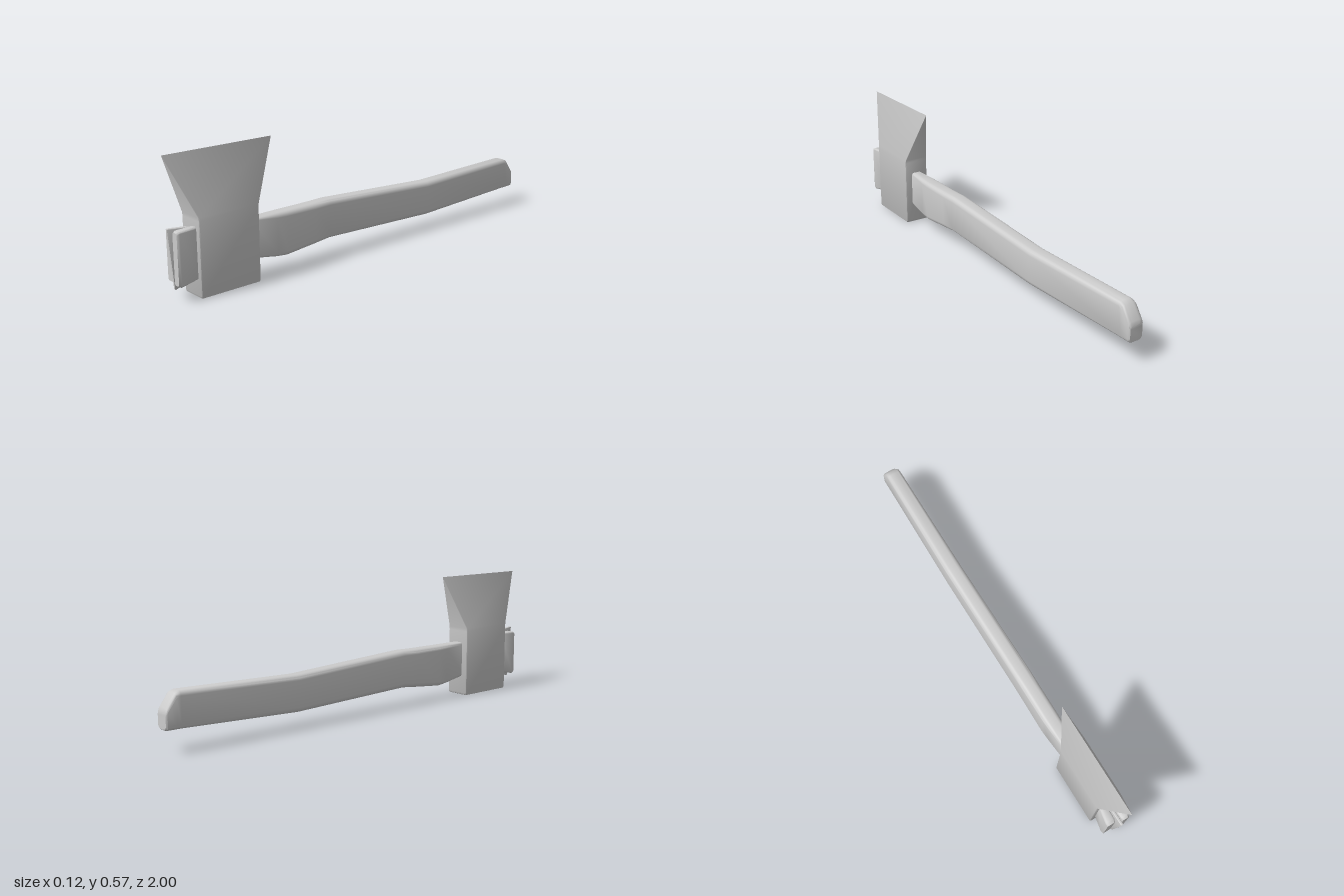
import * as THREE from 'three';
import { toCreasedNormals } from 'three/addons/utils/BufferGeometryUtils.js';

const material = new THREE.MeshStandardMaterial({ color: 0xcccccc });

// Rounded rectangle, counter-clockwise seen from +z
function ring([z, x0, x1, y0, y1, r], steps = 4) {
  const corners = [[x1 - r, y1 - r], [x0 + r, y1 - r], [x0 + r, y0 + r], [x1 - r, y0 + r]];
  const points = [];
  corners.forEach(([cx, cy], k) => {
    for (let i = 0; i <= steps; i++) {
      const a = (k + i / steps) * Math.PI / 2;
      points.push([cx + r * Math.cos(a), cy + r * Math.sin(a), z]);
    }
  });
  return points;
}

// Skin through sections [z, x0, x1, y0, y1, radius] in order of rising z
function loft(sections) {
  const rings = sections.map((s) => ring(s));
  const n = rings[0].length;
  const positions = rings.flat(2);
  const index = [];
  for (let i = 0; i < rings.length - 1; i++) {
    for (let j = 0; j < n; j++) {
      const a = i * n + j, b = i * n + (j + 1) % n;
      index.push(a, b, b + n, a, b + n, a + n);
    }
  }
  const last = (rings.length - 1) * n;
  for (let j = 1; j < n - 1; j++) {
    index.push(0, j + 1, j);
    index.push(last, last + j, last + j + 1);
  }
  const geometry = new THREE.BufferGeometry();
  geometry.setAttribute('position', new THREE.Float32BufferAttribute(positions, 3));
  geometry.setIndex(index);
  return geometry;
}

function part(name, geometry) {
  const mesh = new THREE.Mesh(toCreasedNormals(geometry, 0.75), material);
  mesh.name = name;
  return mesh;
}

export function createModel() {
  const group = new THREE.Group();
  group.name = 'axe';

  // Head: a block flaring lengthwise into a sharp edge, lofted upwards
  const head = loft([
    [0, -0.053, 0.053, -0.885, -0.615, 0.006],
    [0.002, -0.057, 0.057, -0.888, -0.612, 0.007],
    [0.008, -0.059, 0.059, -0.89, -0.61, 0.007],
    [0.31, -0.059, 0.059, -0.89, -0.61, 0.007],
    [0.325, -0.058, 0.058, -0.891, -0.609, 0.006],
    [0.573, 0, 0, -1, -0.5, 0],
  ]).rotateX(-Math.PI / 2);
  group.add(part('axeHead', head));

  // Handle: gently bent, with a slanted butt, entering the head
  group.add(part('handle', loft([
    [-1, -0.032, 0.026, 0.096, 0.165, 0.016],
    [-0.994, -0.037, 0.031, 0.091, 0.178, 0.018],
    [-0.955, -0.038, 0.032, 0.09, 0.232, 0.02],
    [-0.935, -0.038, 0.032, 0.09, 0.24, 0.02],
    [-0.38, -0.041, 0.035, 0.068, 0.226, 0.022],
    [0.22, -0.041, 0.036, 0.088, 0.258, 0.022],
    [0.3, -0.04, 0.036, 0.079, 0.256, 0.022],
    [0.45, -0.039, 0.035, 0.065, 0.255, 0.02],
    [0.5, -0.036, 0.033, 0.07, 0.255, 0.018],
    [0.62, -0.027, 0.025, 0.09, 0.255, 0.012],
    [0.8, -0.027, 0.025, 0.09, 0.255, 0.012],
  ])));

  // Split handle end, its halves spread apart by the wedge
  group.add(part('rightHandleTip', loft([
    [0.8, -0.034, -0.003, 0.09, 0.26, 0.008],
    [0.88, -0.04, -0.006, 0.078, 0.272, 0.008],
    [0.955, -0.053, -0.01, 0.064, 0.276, 0.008],
    [0.968, -0.05, -0.014, 0.07, 0.271, 0.008],
  ])));
  group.add(part('leftHandleTip', loft([
    [0.8, 0.003, 0.032, 0.09, 0.27, 0.008],
    [0.88, 0.006, 0.037, 0.076, 0.285, 0.008],
    [0.968, 0.012, 0.048, 0.063, 0.285, 0.008],
    [0.98, 0.016, 0.045, 0.07, 0.28, 0.008],
  ])));

  // Thin wedge, leaning slightly forward at the top
  const wedge = loft([
    [0.75, -0.002, 0.002, 0.1, 0.25, 0.001],
    [0.88, -0.005, 0.005, 0.075, 0.278, 0.003],
    [0.98, -0.006, 0.006, 0.044, 0.293, 0.004],
    [0.984, -0.004, 0.004, 0.046, 0.291, 0.003],
  ]);
  const p = wedge.attributes.position;
  for (let i = 0; i < p.count; i++) {
    if (p.getZ(i) > 0.9) p.setZ(i, p.getZ(i) + (p.getY(i) - 0.168) * 0.09);
  }
  group.add(part('wedge', wedge));

  return group;
}
